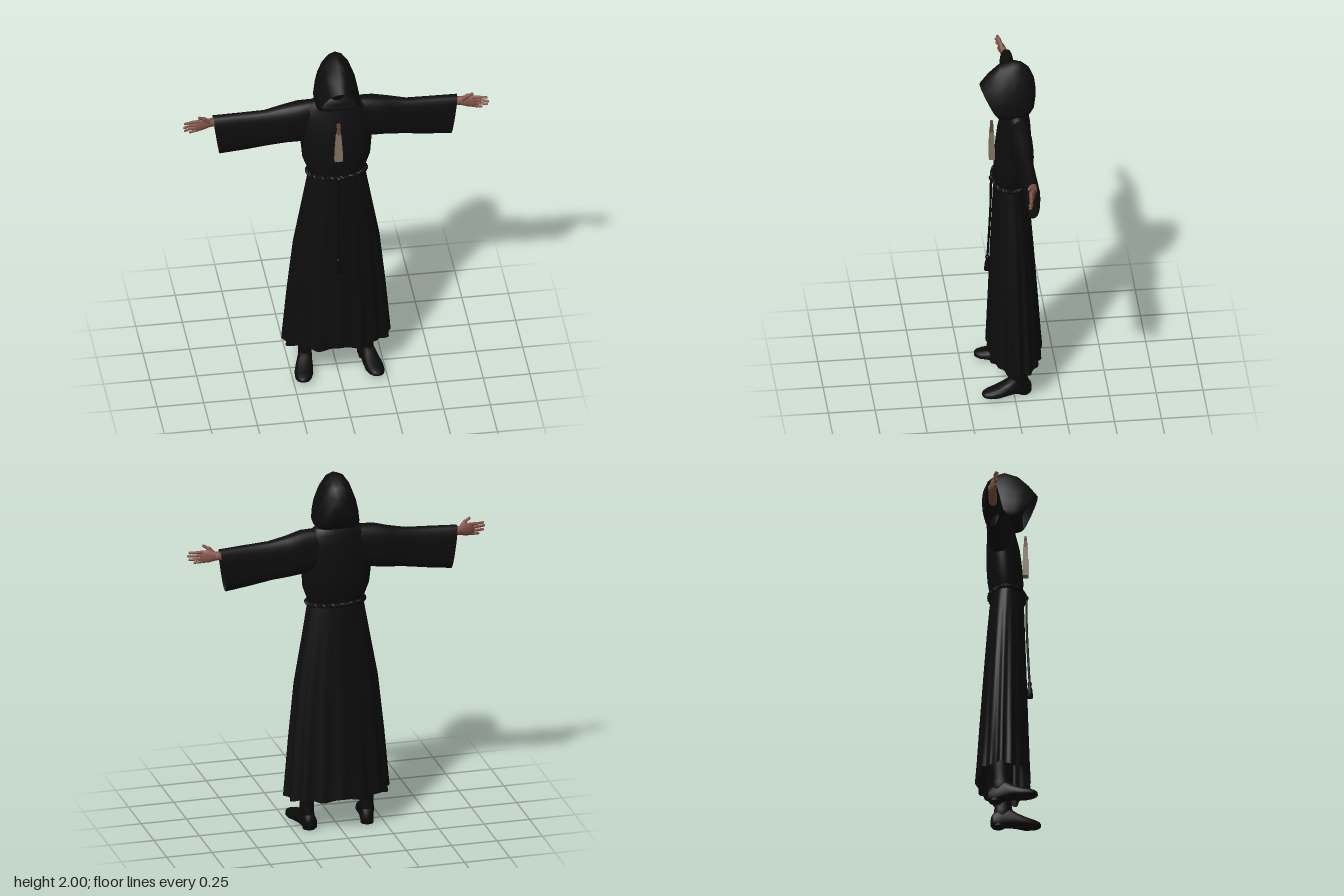
import * as THREE from 'three';

const V = (x, y, z) => new THREE.Vector3(x, y, z);
const material = (name, color, side = THREE.DoubleSide) => {
  const m = new THREE.MeshStandardMaterial({ color, side });
  m.name = name;
  return m;
};

// Skin a list of equal-length closed rings; faces are turned outward by signed volume.
function loft(rings, capStart = false, capEnd = false) {
  const n = rings[0].length, pts = rings.flat(), index = [];
  for (let i = 0; i < rings.length - 1; i++) {
    for (let j = 0; j < n; j++) {
      const a = i * n + j, b = i * n + (j + 1) % n;
      index.push(a, b, b + n, a, b + n, a + n);
    }
  }
  const cap = (start, flip) => {
    const c = pts.length, mid = V(0, 0, 0);
    for (let j = 0; j < n; j++) mid.add(pts[start + j]);
    pts.push(mid.divideScalar(n));
    for (let j = 0; j < n; j++) {
      const a = start + j, b = start + (j + 1) % n;
      index.push(c, flip ? b : a, flip ? a : b);
    }
  };
  if (capStart) cap(0, true);
  if (capEnd) cap((rings.length - 1) * n, false);
  const mid = V(0, 0, 0);
  pts.forEach(p => mid.addScaledVector(p, 1 / pts.length));
  let volume = 0;
  for (let i = 0; i < index.length; i += 3) {
    const [a, b, c] = [0, 1, 2].map(k => pts[index[i + k]].clone().sub(mid));
    volume += a.dot(b.cross(c));
  }
  if (volume < 0) index.reverse();
  const g = new THREE.BufferGeometry().setFromPoints(pts);
  g.setIndex(index);
  g.computeVertexNormals();
  return g;
}

const ring = (n, fn) => Array.from({ length: n }, (_, i) => fn(i / n * Math.PI * 2));

// Horizontal oval from a half width and a front and back depth
const oval = (n, y, w, zf, zb) => ring(n, a =>
  V(w * Math.cos(a), y, (zf + zb) / 2 + (zf - zb) / 2 * Math.sin(a)));

export function createModel() {
  const root = new THREE.Group();
  const cloth = material('black cloth', 0x0d0d0d);
  const leather = material('black leather', 0x0b0b0b);
  const cord = material('dark cord', 0x09090a);
  const shade = material('shadowed face', 0x100d0c);
  const skin = material('skin', 0x85574a);
  const bone = material('pale wood', 0x84755f);
  const wood = material('brown wood', 0x654638);
  const add = (name, geometry, mat, parent = root) => {
    const mesh = new THREE.Mesh(geometry, mat);
    mesh.name = name;
    parent.add(mesh);
    return mesh;
  };
  // Rounded rod between two points
  const rod = (name, a, b, r, mat, parent) => {
    const d = b.clone().sub(a);
    const m = add(name, new THREE.CapsuleGeometry(r, d.length(), 4, 10), mat, parent);
    m.position.copy(a).add(b).multiplyScalar(0.5);
    m.quaternion.setFromUnitVectors(V(0, 1, 0), d.normalize());
    return m;
  };

  // Pleated skirt
  const skirt = [[1.28, .15, .085, -.08], [1.2, .164, .092, -.092], [1.05, .19, .097, -.105],
    [.82, .23, .105, -.122], [.5, .262, .115, -.143], [.3, .278, .122, -.155], [.18, .287, .127, -.163]];
  add('skirt', loft(skirt.map(([y, w, zf, zb]) => {
    const depth = .04 * (1.28 - y) / 1.1;
    return oval(96, y, w, zf, zb).map((p, i) => {
      const a = i / 96 * Math.PI * 2;
      const f = 1 + depth * (Math.cos(16 * a) + .5 * Math.sin(7 * a) - .4);
      const droop = y < .2 ? .008 * Math.cos(8 * a) : 0;
      return V(p.x * f, y + droop, -.02 + (p.z + .02) * f);
    });
  })), cloth);

  // Bodice, slightly bloused over the belt
  const bodice = [[1.26, .148, .082, -.08], [1.3, .16, .086, -.092], [1.36, .182, .088, -.102],
    [1.45, .19, .081, -.108], [1.54, .192, .07, -.108], [1.62, .19, .05, -.103],
    [1.67, .178, .036, -.095], [1.70, .13, .028, -.086], [1.74, .06, .02, -.07]];
  add('bodice', loft(bodice.map(s => oval(40, ...s)), false, true), cloth);

  // Hood: pointed arches running from the open front to the closed back
  const arch = [[0, 0], [.65, .01], [.92, .06], [1, .15], [.94, .35], [.83, .55], [.6, .79], [.3, .95]];
  const half = [...arch, [0, 1], ...arch.slice(1).reverse().map(([x, y]) => [-x, y])];
  // each: half width, bottom y and z, top y and z
  const hood = [[.095, 1.705, .085, 1.86, .165], [.112, 1.69, .07, 1.92, .118], [.12, 1.68, .04, 1.975, .06],
    [.12, 1.68, -.01, 2, -.01], [.117, 1.685, -.055, 1.985, -.06], [.107, 1.705, -.09, 1.95, -.1],
    [.083, 1.735, -.115, 1.89, -.125], [.04, 1.78, -.128, 1.84, -.132]];
  add('hood', loft(hood.map(([w, y0, z0, y1, z1]) =>
    half.map(([x, t]) => V(x * w, y0 + (y1 - y0) * t, z0 + (z1 - z0) * t))), false, true), cloth);

  // Head deep inside the hood
  const head = new THREE.Group();
  head.name = 'head';
  root.add(head);
  const skull = add('skull', new THREE.SphereGeometry(1, 24, 18), shade, head);
  skull.scale.set(.066, .098, .08);
  skull.position.set(0, 1.815, -.012);
  rod('nose', V(0, 1.825, .062), V(0, 1.795, .076), .008, shade, head);
  rod('neck', V(0, 1.68, -.03), V(0, 1.76, -.03), .042, shade, head);

  for (const s of [1, -1]) {
    const side = s > 0 ? 'left' : 'right';

    // Bell sleeve: top x, bottom x, top y, bottom y, front z, back z
    const sleeve = [[.1, .1, 1.7, 1.47, .015, -.085], [.2, .19, 1.695, 1.455, .028, -.096],
      [.28, .27, 1.675, 1.447, .012, -.094], [.38, .36, 1.654, 1.437, .002, -.08],
      [.52, .49, 1.648, 1.418, -.004, -.084], [.655, .622, 1.642, 1.402, -.012, -.088]];
    add(side + 'Sleeve', loft(sleeve.map(([xt, xb, yt, yb, zf, zb]) => ring(28, a => {
      const c = Math.cos(a), sn = Math.sin(a), t = (1 + Math.sign(c) * Math.abs(c) ** .75) / 2;
      return V(s * (xb + (xt - xb) * t), yb + (yt - yb) * t,
        (zf + zb) / 2 + (zf - zb) / 2 * Math.sign(sn) * Math.abs(sn) ** .8);
    }))), cloth);

    // Hand, palm forward with spread fingers
    const hand = new THREE.Group();
    hand.name = side + 'Hand';
    root.add(hand);
    rod('forearm', V(s * .5, 1.602, -.05), V(s * .66, 1.606, -.047), .023, skin, hand);
    const palm = [[.645, .022, .02, 1.606, -.047], [.675, .026, .018, 1.606, -.043],
      [.71, .036, .016, 1.606, -.037], [.74, .035, .012, 1.603, -.03], [.755, .026, .008, 1.6, -.027]];
    add('palm', loft(palm.map(([x, h, d, y, z]) => ring(16, a =>
      V(s * x, y + h * Math.cos(a), z + d * Math.sin(a)))), true, true), skin, hand);
    const fingers = [[1.63, .812, 1.628, -.02], [1.613, .818, 1.608, -.013],
      [1.594, .812, 1.588, -.016], [1.577, .785, 1.571, -.022]];
    for (const [y0, x1, y1, z1] of fingers) {
      const mid = V(s * (.735 + x1) / 2, (y0 + y1) / 2, -.027);
      rod('finger', V(s * .735, y0, -.03), mid, .0085, skin, hand);
      rod('fingertip', mid, V(s * (x1 - .004), y1, z1), .007, skin, hand);
    }
    rod('thumbBase', V(s * .68, 1.615, -.036), V(s * .707, 1.645, -.026), .012, skin, hand);
    rod('thumbTip', V(s * .707, 1.645, -.026), V(s * .732, 1.66, -.018), .008, skin, hand);

    // Boot: shaft and foot, toes turned slightly outward
    const boot = new THREE.Group();
    boot.name = side + 'Boot';
    boot.position.set(s * .165, 0, -.025);
    boot.rotation.y = s * .2;
    root.add(boot);
    const shaft = [[.05, .036, .045, -.055], [.1, .036, .05, -.05], [.14, .036, .042, -.046],
      [.2, .042, .046, -.052], [.32, .05, .052, -.06], [.6, .055, .055, -.06]];
    add('shaft', loft(shaft.map(p => oval(20, ...p)), true, true), leather, boot);
    // each: z, half width, sole y, top y
    const foot = [[-.066, .02, .008, .06], [-.055, .034, 0, .08], [-.01, .037, .002, .11],
      [.03, .04, .01, .112], [.07, .046, .012, .085], [.12, .05, .008, .062],
      [.165, .043, .01, .05], [.19, .03, .014, .042], [.2, .014, .018, .034]];
    add('foot', loft(foot.map(([z, w, y0, y1]) => ring(20, a => {
      const up = Math.sin(a), c = Math.cos(a);
      return V(w * Math.sign(c) * Math.abs(c) ** .7,
        up < 0 ? y0 + (y1 - y0) * .35 * (1 - Math.abs(up) ** .5) : y0 + (y1 - y0) * (.35 + .65 * up), z);
    })), true, true), leather, boot);
    const heel = add('heel', new THREE.CylinderGeometry(.034, .034, .018, 18), leather, boot);
    heel.position.set(0, .009, -.028);
  }

  // Rope belt of two twisted strands
  for (const k of [0, Math.PI]) {
    const path = ring(120, a => V((.156 + .006 * Math.cos(18 * a + k)) * Math.cos(a),
      1.268 + .006 * Math.sin(18 * a + k), .002 + (.093 + .006 * Math.cos(18 * a + k)) * Math.sin(a)));
    add('beltStrand', new THREE.TubeGeometry(new THREE.CatmullRomCurve3(path, true), 180, .008, 6, true), cord);
  }

  // Knot, hanging cord and tassel
  const knot = add('beltKnot', new THREE.SphereGeometry(.016, 14, 10), cord);
  knot.position.set(0, 1.265, .1);
  const hang = new THREE.CatmullRomCurve3([V(0, 1.26, .104), V(-.003, 1.1, .106), V(-.006, .95, .112), V(-.008, .76, .122)]);
  add('hangingCord', new THREE.TubeGeometry(hang, 24, .006, 8), cord);
  const tassel = [[0, .09], [.009, .088], [.012, .078], [.008, .066], [.014, .045], [.019, 0], [0, 0]];
  add('tassel', new THREE.LatheGeometry(tassel.map(p => new THREE.Vector2(...p)).reverse(), 14), cord)
    .position.set(-.008, .68, .122);

  // Slim tapering pendant carried in front of the chest
  const pendant = new THREE.Group();
  pendant.name = 'pendant';
  pendant.position.set(-.003, 1.39, .1);
  root.add(pendant);
  const box = (w, d, y) => [V(-w, y, -d), V(w, y, -d), V(w, y, d), V(-w, y, d)];
  const slab = (name, mat, ...rows) => {
    const g = loft(rows.map(r => box(...r)), true, true).toNonIndexed();
    g.computeVertexNormals();
    add(name, g, mat, pendant);
  };
  slab('pendantBody', bone, [.022, .015, 0], [.02, .015, .06], [.013, .012, .168]);
  slab('pendantNeck', wood, [.01, .01, .168], [.008, .008, .215]);
  slab('pendantTip', wood, [.011, .008, .215], [.009, .006, .235]);
  return root;
}
